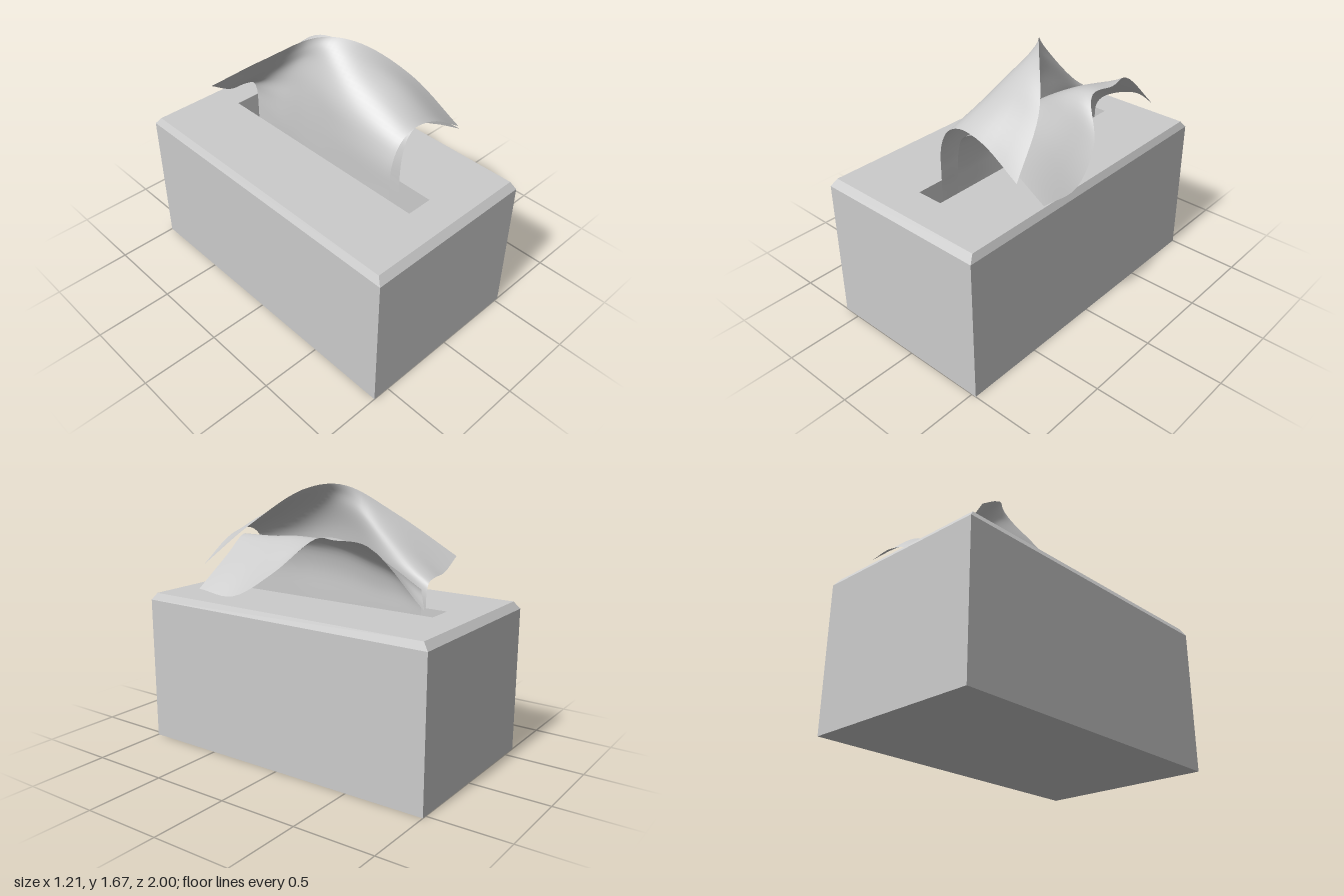
import * as THREE from 'three';

const grey = new THREE.MeshStandardMaterial({ color: 0xcccccc });
const cloth = new THREE.MeshStandardMaterial({ color: 0xcccccc, side: THREE.DoubleSide });

// Rectangle of corners at height y, counter-clockwise from above
const rect = (x0, x1, z0, z1, y) => [[x0, y, z1], [x1, y, z1], [x1, y, z0], [x0, y, z0]];

// Flat-faced solid skinned over a list of rectangles, capped at both ends
function skinLoops(loops) {
  const pos = [];
  const quad = (a, b, c, d) => pos.push(...a, ...b, ...c, ...a, ...c, ...d);
  for (let i = 0; i < loops.length - 1; i++) {
    for (let j = 0; j < 4; j++) {
      const k = (j + 1) % 4;
      quad(loops[i][j], loops[i][k], loops[i + 1][k], loops[i + 1][j]);
    }
  }
  quad(...[...loops[0]].reverse());
  quad(...loops[loops.length - 1]);
  const geo = new THREE.BufferGeometry();
  geo.setAttribute('position', new THREE.Float32BufferAttribute(pos, 3));
  geo.computeVertexNormals();
  return geo;
}

// Smooth sheet through sections that each run from the slot to the free edge
function sheet(sections, nu = 36, nv = 28) {
  const spline = (pts) => new THREE.CatmullRomCurve3(pts, false, 'centripetal');
  const rows = sections.map((s) => spline(s.map((p) => new THREE.Vector3(...p))).getPoints(nv));
  const pos = [], index = [];
  for (let v = 0; v <= nv; v++) {
    for (const p of spline(rows.map((r) => r[v])).getPoints(nu)) pos.push(p.x, p.y, p.z);
  }
  const w = nu + 1;
  for (let v = 0; v < nv; v++) {
    for (let u = 0; u < nu; u++) {
      const a = v * w + u;
      index.push(a, a + 1, a + w, a + 1, a + w + 1, a + w);
    }
  }
  const geo = new THREE.BufferGeometry();
  geo.setAttribute('position', new THREE.Float32BufferAttribute(pos, 3));
  geo.setIndex(index);
  geo.computeVertexNormals();
  return geo;
}

export function createModel() {
  const group = new THREE.Group();
  const add = (name, geo, mat) => {
    const mesh = new THREE.Mesh(geo, mat);
    mesh.name = name;
    group.add(mesh);
  };

  // Box with chamfered top and a recessed slot
  add('box', skinLoops([
    rect(-0.61, 0.53, -1, 1, 0),
    rect(-0.61, 0.53, -1, 1, 0.915),
    rect(-0.585, 0.51, -0.965, 0.965, 0.96),
    rect(-0.12, 0.05, -0.76, 0.75, 0.96),
    rect(-0.12, 0.05, -0.76, 0.75, 0.75),
  ]), grey);

  // Upper sheet: droops right at the front, twists over and droops left at the back
  add('upperTissue', sheet([
    [[-0.11, 0.8, 0.585], [-0.11, 0.98, 0.585], [-0.1, 1.19, 0.585], [-0.04, 1.31, 0.585], [0.06, 1.36, 0.585], [0.23, 1.33, 0.585], [0.47, 1.18, 0.585]],
    [[-0.115, 0.8, 0.35], [-0.115, 0.98, 0.35], [-0.11, 1.2, 0.35], [-0.07, 1.35, 0.34], [0.03, 1.45, 0.33], [0.18, 1.49, 0.31], [0.365, 1.44, 0.29]],
    [[-0.105, 0.8, 0.1], [-0.105, 0.98, 0.1], [-0.1, 1.2, 0.1], [-0.08, 1.38, 0.1], [-0.02, 1.51, 0.08], [0.06, 1.59, 0.06], [0.16, 1.64, 0.05]],
    [[-0.08, 0.8, -0.16], [-0.08, 0.98, -0.16], [-0.07, 1.2, -0.16], [-0.05, 1.38, -0.15], [-0.02, 1.52, -0.14], [-0.01, 1.6, -0.13], [0.01, 1.66, -0.12]],
    [[-0.04, 0.8, -0.42], [-0.04, 0.96, -0.42], [-0.03, 1.12, -0.42], [-0.02, 1.25, -0.41], [-0.04, 1.35, -0.4], [-0.1, 1.42, -0.39], [-0.18, 1.49, -0.37]],
    [[-0.02, 0.8, -0.675], [-0.02, 0.94, -0.675], [-0.025, 1.07, -0.675], [-0.05, 1.13, -0.675], [-0.12, 1.15, -0.675], [-0.23, 1.16, -0.675], [-0.37, 1.24, -0.68]],
  ]), cloth);

  // Lower sheet: spreads to the right along the whole slot
  add('lowerTissue', sheet([
    [[0, 0.8, 0.56], [0, 0.98, 0.56], [0.01, 1.17, 0.56], [0.05, 1.29, 0.56], [0.14, 1.33, 0.55], [0.33, 1.23, 0.52], [0.595, 1.06, 0.51]],
    [[0, 0.8, 0.32], [0, 0.98, 0.32], [0.01, 1.17, 0.32], [0.06, 1.3, 0.32], [0.17, 1.34, 0.3], [0.36, 1.26, 0.27], [0.6, 1.05, 0.24]],
    [[0.01, 0.8, 0.1], [0.01, 0.98, 0.1], [0.015, 1.17, 0.1], [0.06, 1.3, 0.1], [0.17, 1.36, 0.08], [0.34, 1.32, 0.04], [0.53, 1.2, 0]],
    [[0.015, 0.8, -0.14], [0.015, 0.98, -0.14], [0.02, 1.15, -0.14], [0.06, 1.28, -0.14], [0.13, 1.34, -0.15], [0.24, 1.38, -0.17], [0.37, 1.39, -0.18]],
    [[0.02, 0.8, -0.36], [0.02, 0.97, -0.36], [0.025, 1.1, -0.36], [0.06, 1.22, -0.36], [0.14, 1.3, -0.36], [0.26, 1.37, -0.35], [0.4, 1.4, -0.33]],
    [[0.025, 0.8, -0.52], [0.025, 0.96, -0.52], [0.03, 1.08, -0.52], [0.06, 1.17, -0.52], [0.13, 1.24, -0.52], [0.25, 1.31, -0.52], [0.36, 1.38, -0.52]],
    [[0.03, 0.8, -0.675], [0.03, 0.94, -0.675], [0.04, 1.04, -0.675], [0.08, 1.1, -0.69], [0.17, 1.14, -0.75], [0.27, 1.14, -0.81], [0.345, 1.07, -0.87]],
  ]), cloth);

  return group;
}
